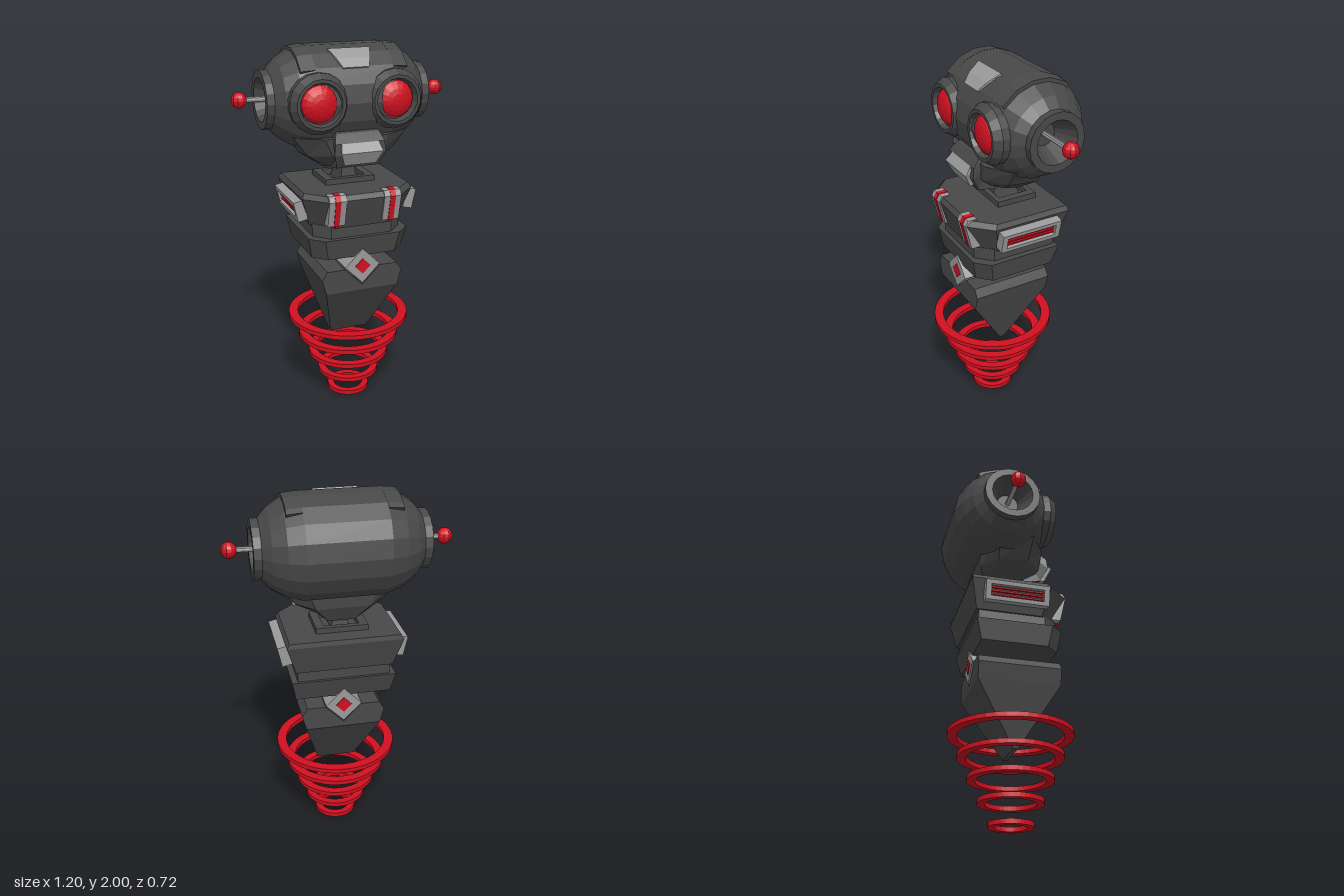
import * as THREE from 'three';

const mat = (color) => new THREE.MeshStandardMaterial({ color, flatShading: true });
const DARK = mat(0x484848), LIGHT = mat(0x9a9a9a), RED = mat(0xd01020);

// Solid through a list of equal-length cross-sections ([x, y, z] loops), with end caps
function loft(sections) {
  const n = sections[0].length, v = sections.flat(), idx = [];
  for (let s = 0; s < sections.length - 1; s++) {
    for (let i = 0; i < n; i++) {
      const a = s * n + i, b = s * n + (i + 1) % n;
      idx.push(a, b, b + n, a, b + n, a + n);
    }
  }
  const e = (sections.length - 1) * n;
  for (let i = 1; i < n - 1; i++) idx.push(0, i + 1, i, e, e + i, e + i + 1);
  // Turn the faces outward if the enclosed volume comes out negative
  const P = (i) => new THREE.Vector3(...v[idx[i]]);
  let vol = 0;
  for (let i = 0; i < idx.length; i += 3) vol += P(i).dot(P(i + 1).cross(P(i + 2)));
  if (vol < 0) idx.reverse();
  const g = new THREE.BufferGeometry();
  g.setAttribute('position', new THREE.Float32BufferAttribute(v.flat(), 3));
  g.setIndex(idx);
  g.computeVertexNormals();
  return g;
}

// Horizontal cross-sections
const rect = (y, x0, x1, z0, z1) => [[x0, y, z0], [x1, y, z0], [x1, y, z1], [x0, y, z1]];
const torsoPlan = (y, w, front, back, cut = 0.11) => [
  [-w, y, back], [w, y, back], [w, y, front - cut],
  [w - cut, y, front], [cut - w, y, front], [-w, y, front - cut]];
const jawPlan = (y, w, front, back, tilt) => [
  [-w, front - 0.09], [-w * 0.55, front], [w * 0.55, front], [w, front - 0.09],
  [w, back + 0.08], [w * 0.6, back], [-w * 0.6, back], [-w, back + 0.08],
].map(([x, z]) => [x, y + tilt * z, z]);

const lathe = (pts, seg) => new THREE.LatheGeometry(pts.map((p) => new THREE.Vector2(...p)), seg);

function polygon(pts, hole) {
  const s = new THREE.Shape(pts.map((p) => new THREE.Vector2(...p)));
  if (hole) s.holes.push(new THREE.Path(hole.map((p) => new THREE.Vector2(...p))));
  return s;
}
const corners = (w, h) => [[-w, -h], [w, -h], [w, h], [-w, h]];
const extrude = (shape, depth) => new THREE.ExtrudeGeometry(shape, { depth, bevelEnabled: false });

export function createModel() {
  const root = new THREE.Group();
  const add = (name, geo, material, x = 0, y = 0, z = 0, parent = root) => {
    const m = new THREE.Mesh(geo, material);
    m.name = name;
    m.position.set(x, y, z);
    parent.add(m);
    return m;
  };
  const HY = 1.73, HZ = -0.085;

  // Head: barrel around the x axis with a funnel-shaped ear at each end
  const half = [[0, 0.33], [0.06, 0.33], [0.115, 0.45], [0.155, 0.45], [0.155, 0.41],
    [0.205, 0.365], [0.248, 0.295], [0.275, 0.21]];
  const barrel = [...half.map(([r, x]) => [r, -x]), ...half.slice().reverse()];
  add('head', lathe(barrel, 18).rotateZ(-Math.PI / 2), DARK, 0, HY, HZ);

  // Jaw under the barrel
  add('jaw', loft([jawPlan(1.365, 0.12, 0.1, -0.15, 0.2), jawPlan(1.44, 0.24, 0.15, -0.19, 0.1),
    jawPlan(1.55, 0.32, 0.16, -0.2, 0)]), DARK);

  // Muzzle and mouth: side profiles [z, y] swept across, narrowing at the bottom
  const swept = (profile, w, narrow) => loft([-1, 1].map((s) => profile.map(([z, y]) =>
    [s * (w - narrow * Math.abs(y - 1.49)), y, z])));
  add('muzzle', swept([[0.05, 1.61], [0.16, 1.575], [0.2, 1.53], [0.205, 1.47], [0.165, 1.395],
    [0.05, 1.37]], 0.15, 0.35), DARK);
  add('mouth', swept([[0.14, 1.545], [0.2, 1.53], [0.235, 1.485], [0.2, 1.415], [0.14, 1.41]],
    0.118, 0.4), LIGHT);

  // Forehead plate lying on the barrel
  const arc = (deg, r, x) => [x, HY + r * Math.sin(deg * Math.PI / 180), HZ + r * Math.cos(deg * Math.PI / 180)];
  add('foreheadPlate', loft([[66, 0.115], [50, 0.092], [38, 0.07]].map(([d, w]) =>
    [arc(d, 0.25, -w), arc(d, 0.25, w), arc(d, 0.284, w), arc(d, 0.284, -w)])), LIGHT);

  for (const s of [-1, 1]) {
    const side = s > 0 ? 'left' : 'right';

    // Raised band over the shoulder of the barrel
    add(side + 'HeadBand', loft([38, 60, 80, 100, 120, 127].map((d) =>
      [arc(d, 0.2, s * 0.21), arc(d, 0.2, s * 0.29), arc(d, 0.268, s * 0.29), arc(d, 0.276, s * 0.21)])), DARK);

    // Eye socket and eye
    add(side + 'EyeSocket', lathe([[0.15, 0], [0.157, 0.16], [0.13, 0.2], [0.112, 0.2],
      [0.1, 0.165], [0, 0.165]], 18).rotateX(Math.PI / 2), DARK, s * 0.206, 1.735, 0);
    add(side + 'Eye', new THREE.SphereGeometry(0.1, 16, 10).rotateX(Math.PI / 2).scale(1, 1, 0.5),
      RED, s * 0.206, 1.735, 0.16);

    // Antenna
    add(side + 'AntennaRod', new THREE.CylinderGeometry(0.014, 0.014, 0.24, 10).rotateZ(Math.PI / 2),
      LIGHT, s * 0.43, 1.735, HZ);
    add(side + 'AntennaBall', new THREE.SphereGeometry(0.042, 10, 8), RED, s * 0.558, 1.735, HZ);

    // Chest strap with a red stripe
    const strap = (x0, x1, d) => loft([rect(1.11 - d, s * x0, s * x1, 0.2, 0.252 + d),
      rect(1.25, s * x0, s * x1, 0.22, 0.285 + d), rect(1.28 + d, s * x0, s * x1, 0.22, 0.27 + d)]);
    add(side + 'ChestStrap', strap(0.105, 0.2, 0), LIGHT);
    add(side + 'ChestStripe', strap(0.138, 0.168, 0.003), RED);

    // Side vent: frame with red slats, leaning with the torso wall
    const mount = new THREE.Group();
    mount.name = side + 'SideVent';
    mount.position.set(s * 0.295, 1.182, -0.027);
    mount.rotation.y = s > 0 ? 0 : Math.PI;
    const lean = new THREE.Group();
    lean.rotation.z = -0.22;
    mount.add(lean);
    root.add(mount);
    add('ventFrame', extrude(polygon(corners(0.175, 0.055), corners(0.145, 0.032)), 0.055)
      .rotateY(Math.PI / 2), LIGHT, -0.01, 0, 0, lean);
    add('ventBack', new THREE.BoxGeometry(0.02, 0.07, 0.3), DARK, 0.005, 0, 0, lean);
    for (const y of [-0.02, 0, 0.02]) {
      add('ventSlat', new THREE.BoxGeometry(0.02, 0.009, 0.29), RED, 0.022, y, 0, lean);
    }
  }

  // Neck standing in a square collar
  add('neck', loft([rect(1.26, -0.055, 0.055, -0.12, 0.03), rect(1.31, -0.042, 0.042, -0.11, 0.03),
    rect(1.4, -0.03, 0.03, -0.115, 0.02)]), DARK);
  add('neckCollar', extrude(polygon(corners(0.14, 0.115), corners(0.095, 0.085)), 0.05)
    .rotateX(-Math.PI / 2), DARK, 0, 1.255, -0.055);

  // Torso: chest, waist gap and belly
  add('chest', loft([torsoPlan(1.09, 0.26, 0.235, -0.235), torsoPlan(1.25, 0.31, 0.28, -0.27),
    torsoPlan(1.275, 0.295, 0.262, -0.265)]), DARK);
  add('waist', loft([torsoPlan(1.02, 0.25, 0.225, -0.22, 0.08), torsoPlan(1.1, 0.25, 0.225, -0.22, 0.08)]), DARK);
  add('belly', loft([torsoPlan(0.915, 0.26, 0.228, -0.205, 0.07),
    torsoPlan(1.03, 0.282, 0.25, -0.235, 0.07)]), DARK);

  // Diamond-shaped bar joining belly and lower body, with a red core
  const bar = (size, depth) => new THREE.BoxGeometry(size, size, depth).rotateZ(Math.PI / 4);
  add('diamondBar', bar(0.14, 0.46), LIGHT, 0, 0.86, 0.013);
  add('diamondCore', bar(0.062, 0.468), RED, 0, 0.86, 0.013);

  // Lower body: notched block above a wedge that ends in an edge
  add('lowerBlock', extrude(polygon([[-0.207, 0.72], [0.207, 0.72], [0.23, 0.805], [0.2, 0.85],
    [0.1, 0.85], [0, 0.75], [-0.1, 0.85], [-0.2, 0.85], [-0.23, 0.805]]), 0.45), DARK, 0, 0, -0.21);
  add('lowerWedge', loft([rect(0.385, -0.11, 0.11, 0.005, 0.03),
    rect(0.72, -0.207, 0.207, -0.21, 0.24)]), DARK);

  // Floating rings, growing upward
  for (let i = 0; i < 5; i++) {
    const r = 0.12 + i * 0.055, w = 0.036 + i * 0.004;
    add('hoverRing', lathe([[r - w, 0], [r, 0], [r, 0.025], [r - w, 0.025], [r - w, 0]], 40),
      RED, 0, i * 0.12, 0.02);
  }
  return root;
}
